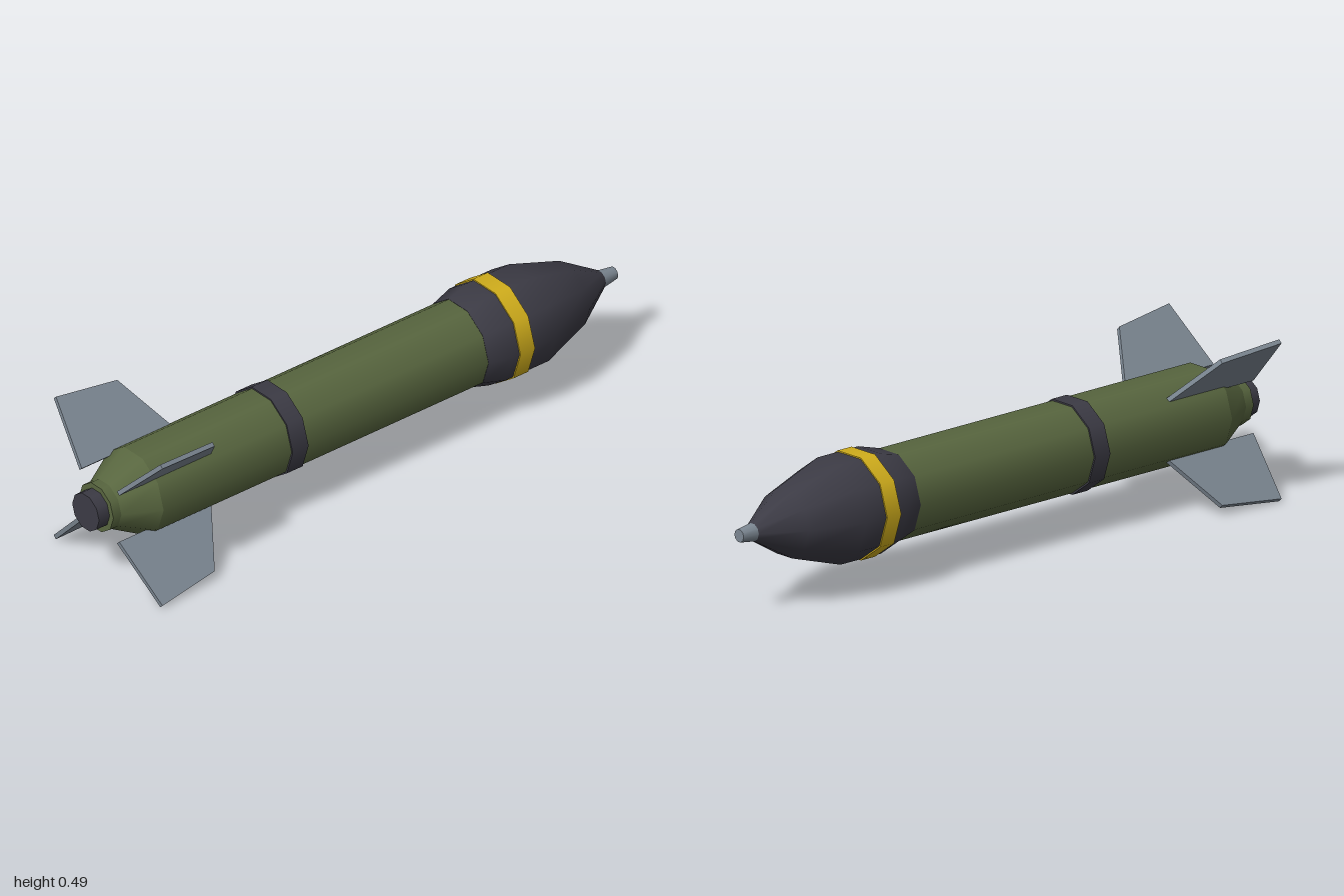
import * as THREE from 'three';
import { mergeGeometries } from 'three/addons/utils/BufferGeometryUtils.js';

const SIDES = 10;
const AXIS_Y = 0.247;

function material(name, color) {
  const m = new THREE.MeshStandardMaterial({ color });
  m.name = name;
  return m;
}

// Ten-sided turned part along z. Each run of [radius, z] is smooth; edges between runs stay sharp.
function turned(name, mat, runs) {
  const parts = runs.map((run) => new THREE.LatheGeometry(
    run.map(([r, z]) => new THREE.Vector2(r, z)), SIDES, Math.PI / 2));
  const geometry = mergeGeometries(parts);
  geometry.rotateX(Math.PI / 2);
  const mesh = new THREE.Mesh(geometry, mat);
  mesh.name = name;
  return mesh;
}

// Closed straight tube with flat ends, r0 at z0 and r1 at z1 (z0 < z1)
function drum(name, mat, r0, z0, r1, z1) {
  return turned(name, mat, [
    [[0, z0], [r0, z0]],
    [[r0, z0], [r1, z1]],
    [[r1, z1], [0, z1]],
  ]);
}

export function createModel() {
  const green = material('olive green', 0x58663f);
  const dark = material('dark grey', 0x3c3b45);
  const yellow = material('warning yellow', 0xd2af1c);
  const steel = material('steel grey', 0x7c8792);

  const model = new THREE.Group();
  model.name = 'rocket';
  model.position.y = AXIS_Y;

  // Motor tube with tapered tail
  model.add(turned('motorTube', green, [
    [[0.138, -0.42], [0.138, 0.82]],
    [[0.138, 0.82], [0.078, 0.93]],
    [[0.078, 0.93], [0.078, 0.96]],
    [[0.078, 0.96], [0, 0.96]],
  ]));
  model.add(drum('nozzle', dark, 0.061, 0.95, 0.061, 1));
  model.add(drum('tubeBand', dark, 0.143, 0.275, 0.143, 0.335));

  // Warhead, its stripe and the fuze at the tip
  model.add(turned('warhead', dark, [
    [[0, -0.95], [0.026, -0.95]],
    [[0.026, -0.95], [0.105, -0.82], [0.16, -0.645], [0.16, -0.485], [0.139, -0.41]],
    [[0.139, -0.41], [0, -0.41]],
  ]));
  model.add(drum('warheadStripe', yellow, 0.164, -0.565, 0.164, -0.51));
  model.add(drum('fuze', steel, 0.02, -1, 0.028, -0.945));

  // Four swept fins set diagonally; outline is [radius, z]
  const thickness = 0.014;
  const outline = [[0.12, 0.6], [0.313, 0.7], [0.342, 0.915], [0.12, 0.948]];
  const finGeometry = new THREE.ExtrudeGeometry(
    new THREE.Shape(outline.map(([r, z]) => new THREE.Vector2(r, z))),
    { depth: thickness, bevelEnabled: false });
  finGeometry.translate(0, 0, -thickness / 2);
  finGeometry.rotateX(Math.PI / 2);
  const fins = new THREE.Group();
  fins.name = 'fins';
  for (let i = 0; i < 4; i++) {
    const fin = new THREE.Mesh(finGeometry, steel);
    fin.name = 'fin' + (i + 1);
    fin.rotation.z = Math.PI / 4 + i * Math.PI / 2;
    fins.add(fin);
  }
  model.add(fins);

  const root = new THREE.Group();
  root.add(model);
  return root;
}
